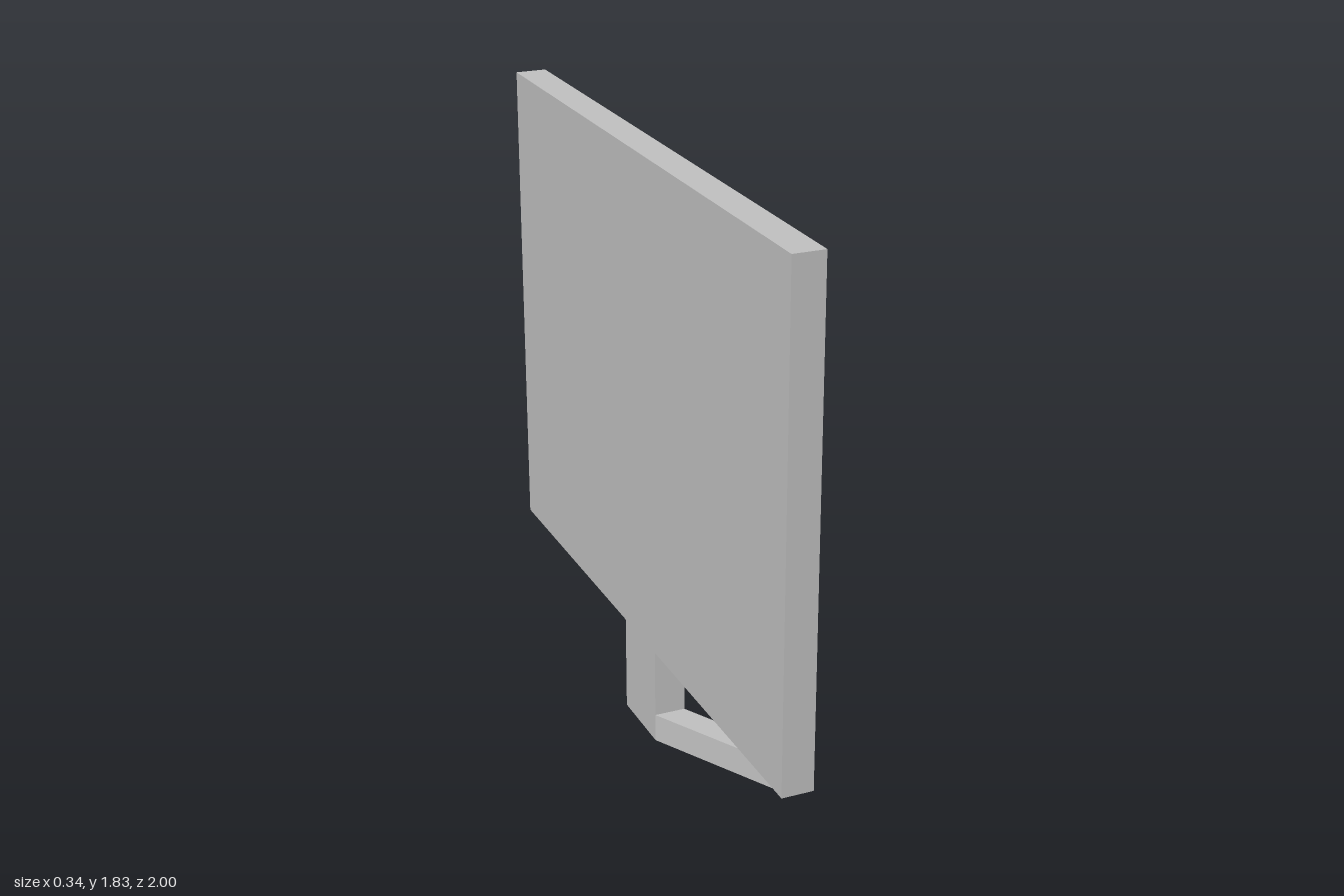
import * as THREE from 'three';

const BACK = -0.173, FRONT = -0.077, RECESS = -0.114;   // x positions of the panel
const NECK = 0.118;                                     // half width of the neck
const BOTTOM = 0.302, TOP = 1.826;                      // panel height range

export function createModel() {
  const group = new THREE.Group();
  const plastic = new THREE.MeshStandardMaterial({ color: 0xc0c0c0 });
  plastic.name = 'grey plastic';

  const add = (name, geometry) => {
    const mesh = new THREE.Mesh(geometry, plastic);
    mesh.name = name;
    group.add(mesh);
  };
  const polygon = (points) => new THREE.Shape(points.map(([a, b]) => new THREE.Vector2(a, b)));
  const rect = (a0, a1, b0, b1) => polygon([[a0, b0], [a1, b0], [a1, b1], [a0, b1]]);
  const extrude = (shape, depth) => new THREE.ExtrudeGeometry(shape, { depth, bevelEnabled: false });
  const block = (x0, x1, y0, y1, z0, z1) => new THREE.BoxGeometry(x1 - x0, y1 - y0, z1 - z0)
    .translate((x0 + x1) / 2, (y0 + y1) / 2, (z0 + z1) / 2);

  // Back of the panel, whose front face is the sunken screen
  add('screenPanel', block(BACK, RECESS, BOTTOM, TOP, -1, 1));

  // Bezel standing proud around the screen, facing +x
  const bezel = rect(-1, 1, BOTTOM, TOP);
  bezel.holes.push(rect(-0.905, 0.9, 0.38, 1.752));
  add('bezel', extrude(bezel, FRONT - RECESS).rotateY(Math.PI / 2).translate(RECESS, 0, 0));

  // Neck down to the floor
  add('neck', block(BACK, FRONT, 0, BOTTOM, -NECK, NECK));

  // Slanted feet spreading forward from the sides of the neck
  const foot = (name, side, endZ, endX) => {
    const shape = polygon([
      [BACK, -side * NECK], [FRONT, -side * NECK],
      [endX + 0.095, -endZ], [endX, -endZ],
    ]);
    add(name, extrude(shape, 0.088).rotateX(-Math.PI / 2));
  };
  foot('footFront', 1, 0.545, 0.057);
  foot('footRear', -1, -0.563, 0.073);

  return group;
}
